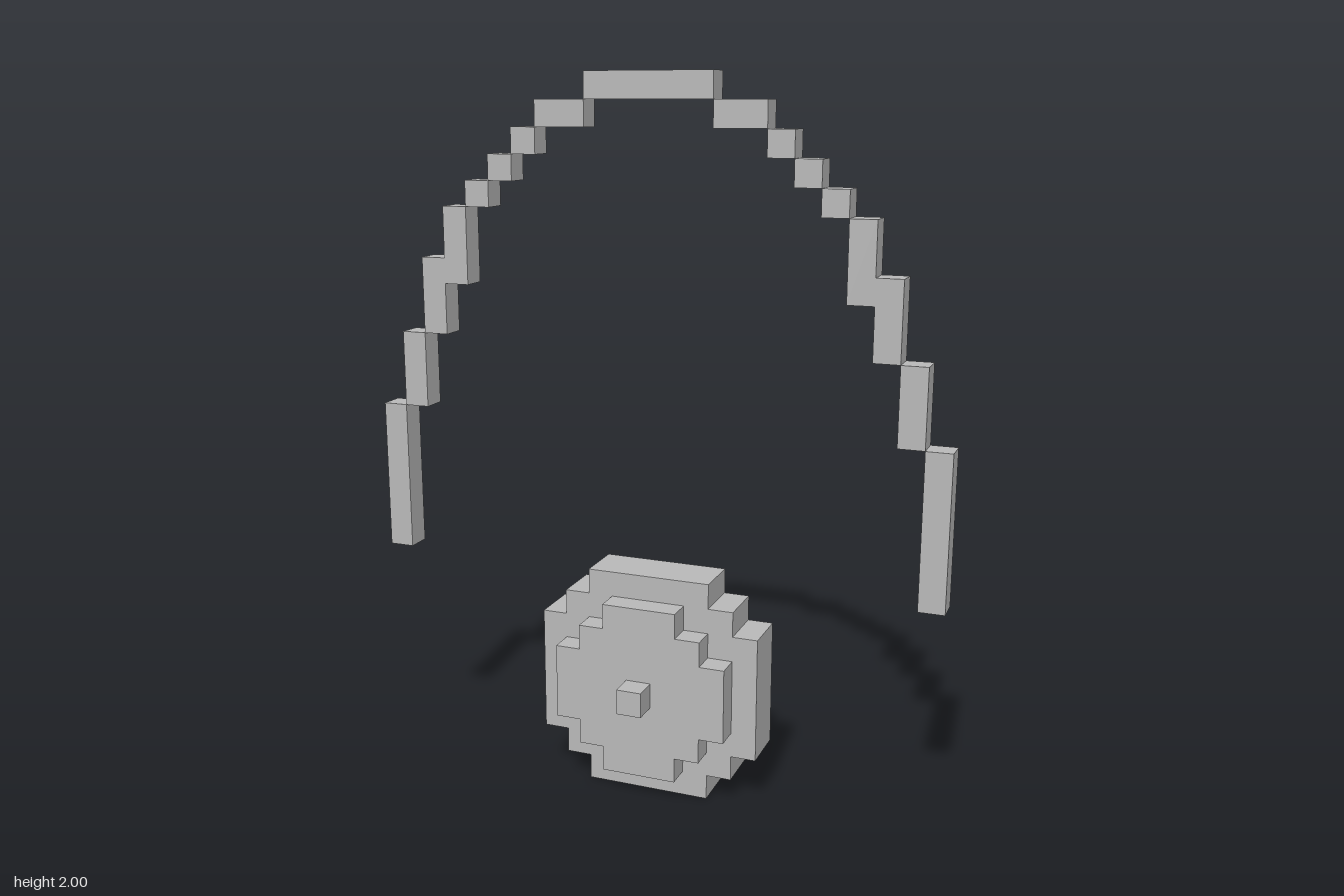
import * as THREE from 'three';

const U = 2 / 28; // one block

export function createModel() {
  const model = new THREE.Group();
  model.name = 'pendantNecklace';
  const grey = new THREE.MeshStandardMaterial({ color: 0xb8b8b8 });
  grey.name = 'grey';

  // Box given by its limits in blocks
  function block(name, parent, x0, x1, y0, y1, z0, z1) {
    const geo = new THREE.BoxGeometry((x1 - x0) * U, (y1 - y0) * U, (z1 - z0) * U);
    const mesh = new THREE.Mesh(geo, grey);
    mesh.position.set((x0 + x1) * U / 2, (y0 + y1) * U / 2, (z0 + z1) * U / 2);
    mesh.name = name;
    parent.add(mesh);
  }

  // Stepped disc: half widths of successive rows, [half width, row height], from y0 upwards
  function steppedDisc(name, rows, y0, z0, z1) {
    const right = [], left = [];
    let y = y0;
    for (const [half, height] of rows) {
      for (const edge of [y, y + height]) {
        right.push(new THREE.Vector2(half * U, edge * U));
        left.unshift(new THREE.Vector2(-half * U, edge * U));
      }
      y += height;
    }
    const geo = new THREE.ExtrudeGeometry(new THREE.Shape([...right, ...left]),
      { depth: (z1 - z0) * U, bevelEnabled: false });
    const mesh = new THREE.Mesh(geo, grey);
    mesh.position.z = z0 * U;
    mesh.name = name;
    model.add(mesh);
  }

  // Cord: a top bar and mirrored steps [x0, x1, y0, y1]
  const cord = new THREE.Group();
  cord.name = 'cord';
  model.add(cord);
  block('cordTop', cord, -2.5, 2.5, 27, 28, -0.5, 0.5);
  const steps = [
    [2.5, 4.5, 26, 27], [4.5, 5.5, 25, 26], [5.5, 6.5, 24, 25], [6.5, 7.5, 23, 24],
    [7.5, 8.5, 20, 23], [8.5, 9.5, 18, 21], [9.5, 10.5, 15, 18], [10.5, 11.5, 9, 15],
  ];
  for (const [x0, x1, y0, y1] of steps) {
    block('cordLeft', cord, x0, x1, y0, y1, -0.5, 0.5);
    block('cordRight', cord, -x1, -x0, y0, y1, -0.5, 0.5);
  }

  // Pendant: thick disc, smaller plates front and back, centre stud
  steppedDisc('pendantDisc', [[2.5, 1], [3.5, 1], [4.5, 5], [3.5, 1], [2.5, 1]], 0, -1.5, 0.5);
  const plate = [[1.5, 1], [2.5, 1], [3.5, 3], [2.5, 1], [1.5, 1]];
  steppedDisc('frontPlate', plate, 1, 0.5, 1.5);
  steppedDisc('backPlate', plate, 1, -2.5, -1.5);
  block('stud', model, -0.5, 0.5, 4, 5, 1.5, 2.5);

  return model;
}
